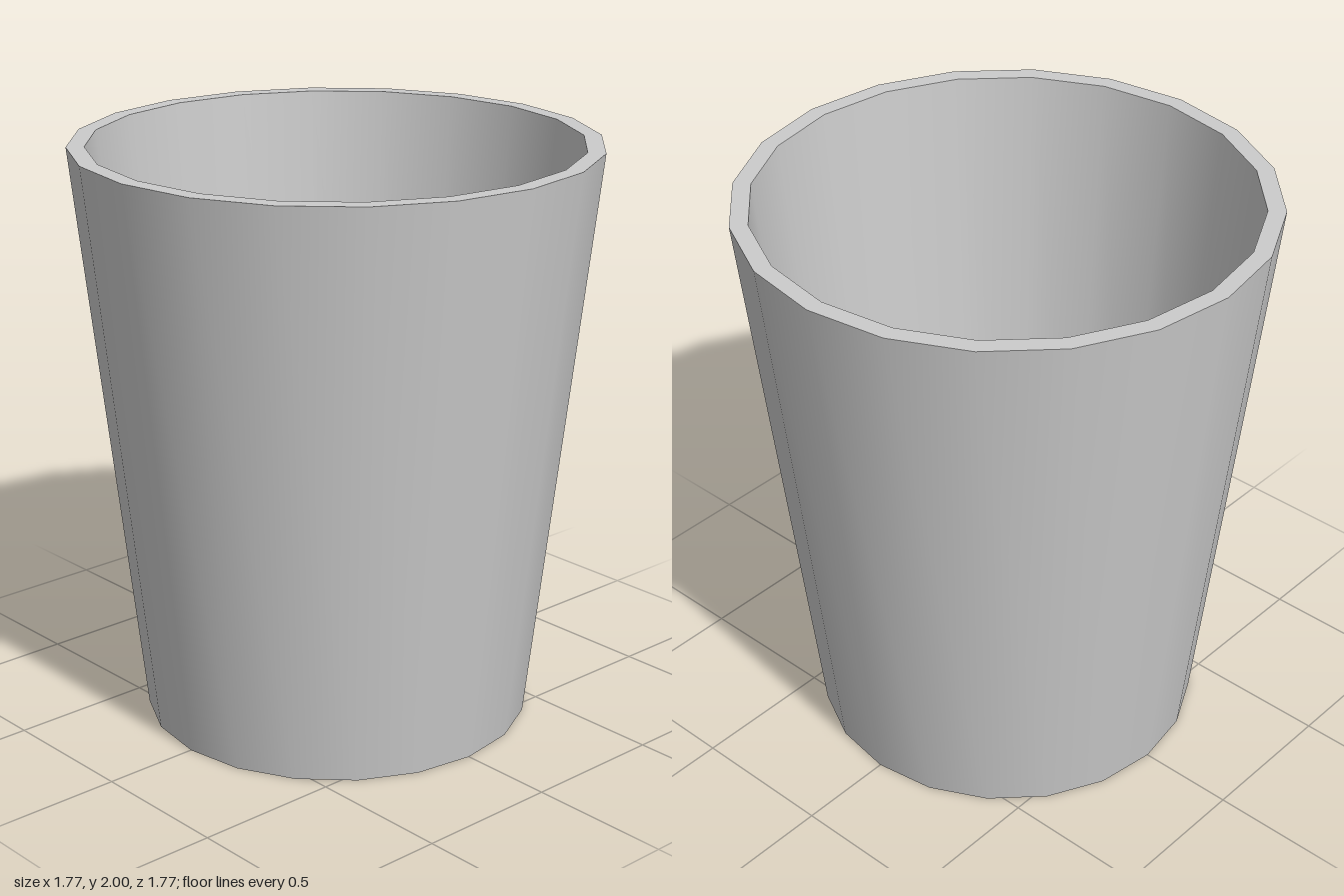
import * as THREE from 'three';

const SIDES = 20;

export function createModel() {
  const cup = new THREE.Group();
  cup.name = 'cup';
  const material = new THREE.MeshStandardMaterial({ color: 0xcccccc });

  // Closed profile (radius, height): under the base, up the outside, over the rim, down the inside
  const profile = [
    [0, 0], [0.665, 0], [0.885, 2], [0.825, 2], [0.648, 0.1], [0, 0.1],
  ].map(([r, y]) => new THREE.Vector2(r, y));
  const names = ['base', 'outerWall', 'rim', 'innerWall', 'floor'];

  // One lathe per profile segment: smooth around the cup, sharp at the rim and base
  names.forEach((name, i) => {
    const geometry = new THREE.LatheGeometry([profile[i], profile[i + 1]], SIDES);
    const mesh = new THREE.Mesh(geometry, material);
    mesh.name = name;
    cup.add(mesh);
  });

  return cup;
}
